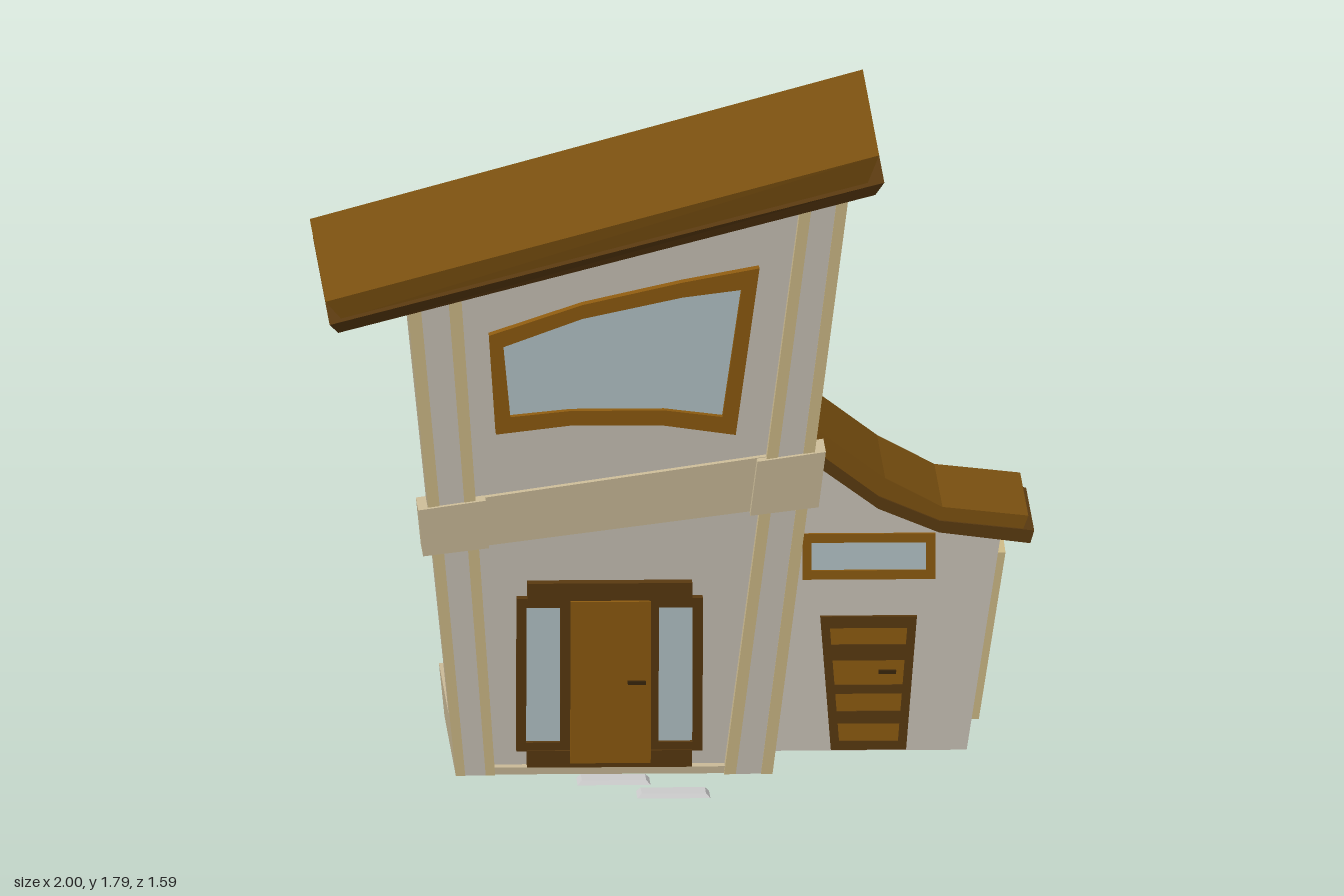
import * as THREE from 'three';

const C = {
  wall: 0xcbc4b8, trim: 0xd0bc88, belt: 0xcbbb98, roof: 0x7c5110, dark: 0x5a3a10,
  frame: 0x8f5c10, glass: 0xb6c6ca, stone: 0xcccccc, handle: 0x3a260c,
};
const mats = {};
const mat = (c) => (mats[c] ??= new THREE.MeshStandardMaterial({ color: C[c], flatShading: true, roughness: 0.9 }));

// Leaning planes of the tower and the annex, by height
const L = (y) => -0.63 - 0.103 * y;
const R = (y) => 0.255 + 0.1265 * y;
const F = (y) => 0.41 + 0.09 * y;
const B = (y) => -0.5 - 0.082 * y;
const annexF = (y) => 0.05 + 0.03 * y;
const annexB = (y) => -0.485 - 0.105 * y;
const annexX = (y) => 0.81 + 0.155 * y;
const soffit = (x) => 1.305 + (x + 0.965) * 0.2567;
const beltLow = (x) => 0.64 + (x + 0.7) * 0.122;
const beltTop = (x) => 0.775 + (x + 0.7) * 0.142;

// Wall mappings: (u, v, depth) to a point on a leaning wall
const onTower = (u, v, d) => [u, v, F(v) - 0.06 + d];
const onPost = (u, v, d) => [u, v, F(v) + d];
const onAnnex = (u, v, d) => [u, v, annexF(v) + d];
const onAnnexSide = (u, v, d) => [annexX(v) + d, v, -u];
const plain = (u, v, d) => [u, v, d];

export function createModel() {
  const model = new THREE.Group();

  function add(name, color, geo, parent = model) {
    const m = new THREE.Mesh(geo, mat(color));
    m.name = name;
    parent.add(m);
    return m;
  }
  function group(name) {
    const g = new THREE.Group();
    g.name = name;
    model.add(g);
    return g;
  }
  // Six-sided solid from two rings: front-left, front-right, back-right, back-left
  function hexa(lo, hi) {
    const p = [...lo, ...hi], pos = [];
    const quads = [[4, 5, 6, 7], [3, 2, 1, 0]];
    for (let i = 0; i < 4; i++) quads.push([i, (i + 1) % 4, 4 + (i + 1) % 4, 4 + i]);
    for (const [a, b, c, d] of quads) for (const i of [a, b, c, a, c, d]) pos.push(...p[i]);
    const g = new THREE.BufferGeometry();
    g.setAttribute('position', new THREE.Float32BufferAttribute(pos, 3));
    g.computeVertexNormals();
    return g;
  }
  // Outline with holes, extruded and laid on a wall
  function panel(name, color, outline, holes, d0, d1, map, parent) {
    const shape = new THREE.Shape(outline.map((q) => new THREE.Vector2(...q)));
    for (const h of holes) shape.holes.push(new THREE.Path(h.map((q) => new THREE.Vector2(...q))));
    const g = new THREE.ExtrudeGeometry(shape, { depth: d1 - d0, bevelEnabled: false });
    const p = g.attributes.position;
    for (let i = 0; i < p.count; i++) p.setXYZ(i, ...map(p.getX(i), p.getY(i), p.getZ(i) + d0));
    g.computeVertexNormals();
    return add(name, color, g, parent);
  }
  const rect = (x0, x1, y0, y1) => [[x0, y0], [x1, y0], [x1, y1], [x0, y1]];

  // Tower walls, belt and base
  const ring = (yl, yr, l, r, f, b) => [
    [L(yl) - l, yl, F(yl) + f], [R(yr) + r, yr, F(yr) + f],
    [R(yr) + r, yr, B(yr) - b], [L(yl) - l, yl, B(yl) - b]];
  const solid = (name, color, lo, hi, ...off) => add(name, color, hexa(ring(...lo, ...off), ring(...hi, ...off)));
  solid('towerWalls', 'wall', [0, 0], [1.355, 1.67], -0.04, -0.04, -0.06, 0);
  solid('belt', 'belt', [beltLow(-0.7), beltLow(0.37)], [beltTop(-0.7), beltTop(0.37)], -0.015, -0.015, -0.025, 0.022);
  solid('baseboard', 'belt', [0, 0], [0.15, 0.15], 0, 0, -0.12, 0.025);
  solid('frontSill', 'belt', [0, 0], [0.02, 0.02], -0.02, -0.02, -0.01, 0);

  // Corner posts with ribs and belt blocks
  const postWidth = (s, y) => (s < 0 ? 0.11 + 0.029 * y : 0.135);
  function post(s, e, yLow, yHigh) {
    const edge = s < 0 ? L : R;
    const ringAt = (fn) => {
      const y0 = fn(s < 0 ? -0.7 : 0.4);
      const xo = edge(y0) + s * e, xi = edge(y0) - s * (postWidth(s, y0) + e);
      const zb = (y) => F(y) - 0.12 - 0.039 * y - e;
      const [a, b] = s < 0 ? [xo, xi] : [xi, xo];
      const ya = fn(a), yb = fn(b);
      return [[a, ya, F(ya) + e], [b, yb, F(yb) + e], [b, yb, zb(yb)], [a, ya, zb(ya)]];
    };
    return hexa(ringAt(yLow), ringAt(yHigh));
  }
  for (const s of [-1, 1]) {
    const g = group(s < 0 ? 'rightPost' : 'leftPost');
    const edge = s < 0 ? L : R;
    const top = s < 0 ? 1.35 : 1.65;
    add('postCore', 'belt', post(s, 0, () => 0, soffit), g);
    add('beltBlock', 'belt', post(s, 0.028, beltLow, beltTop), g);
    const strip = (name, color, a, b, d) => {
      const x = (y, t) => edge(y) - s * postWidth(s, y) * t;
      const pts = [[x(0, a), 0], [x(0, b), 0], [x(top, b), soffit(x(top, b))], [x(top, a), soffit(x(top, a))]];
      panel(name, color, s < 0 ? pts : pts.reverse(), [], -0.01, d, onPost, g);
    };
    strip('postFace', 'wall', 0.1, 0.9, 0.002);
    strip('outerRib', 'trim', 0, 0.24, 0.008);
    strip('innerRib', 'trim', 0.76, 1, 0.008);
  }

  // Sloped tower roof in two layers
  const slab = (xl, yl, xr, yr, fl, fr, bl, br) => [[xl, yl, fl], [xr, yr, fr], [xr, yr, br], [xl, yl, bl]];
  add('roofLower', 'dark', hexa(
    slab(-0.965, 1.295, 0.535, 1.68, 0.62, 0.635, -0.745, -0.785),
    slab(-0.99, 1.32, 0.56, 1.717, 0.635, 0.648, -0.757, -0.795)));
  add('roofUpper', 'roof', hexa(
    slab(-0.955, 1.327, 0.515, 1.704, 0.58, 0.585, -0.71, -0.75),
    slab(-1, 1.378, 0.547, 1.786, 0.59, 0.6, -0.725, -0.765)));

  // Upper window
  const upper = group('upperWindow');
  const upperOuter = [[-0.52, 0.98], [-0.31, 1.005], [-0.05, 1.003], [0.15, 0.975], [0.215, 1.455], [0, 1.415], [-0.28, 1.352], [-0.54, 1.265]];
  const upperInner = [[-0.48, 1.03], [-0.31, 1.047], [-0.05, 1.047], [0.113, 1.027], [0.165, 1.393], [0, 1.372], [-0.28, 1.312], [-0.5, 1.232]];
  panel('windowFrame', 'frame', upperOuter, [upperInner], -0.01, 0.05, onTower, upper);
  panel('windowGlass', 'glass', upperInner, [], -0.01, 0.015, onTower, upper);

  // Main entrance with sidelights
  const entry = group('mainEntrance');
  panel('lintel', 'dark', rect(-0.43, 0.03, 0.5, 0.55), [], -0.01, 0.055, onTower, entry);
  panel('threshold', 'dark', rect(-0.43, 0.03, 0.02, 0.068), [], -0.01, 0.055, onTower, entry);
  panel('doorJamb', 'dark', rect(-0.32, -0.075, 0.02, 0.505), [], -0.01, 0.025, onTower, entry);
  panel('door', 'frame', rect(-0.31, -0.085, 0.032, 0.497), [], 0, 0.057, onTower, entry);
  panel('doorHandle', 'handle', rect(-0.15, -0.1, 0.26, 0.27), [], 0.05, 0.072, onTower, entry);
  for (const x of [-0.46, -0.09]) {
    const glass = rect(x + 0.027, x + 0.122, 0.09, 0.478);
    panel('sidelightFrame', 'dark', rect(x, x + 0.15, 0.065, 0.505), [glass], -0.01, 0.045, onTower, entry);
    panel('sidelightGlass', 'glass', glass, [], -0.01, 0.02, onTower, entry);
  }

  // Annex walls, extruded between the leaning front and back
  panel('annexWalls', 'wall', [[0.15, 0], [0.81, 0], [0.906, 0.62], [0.73, 0.65], [0.56, 0.715], [0.25, 0.92]], [], 0, 1,
    (u, v, t) => [u, v, THREE.MathUtils.lerp(annexB(v), annexF(v), t)]);

  // Swept annex roof in two layers
  panel('annexRoofLower', 'dark', [[0.3, 0.885], [0.56, 0.7], [0.73, 0.632], [0.985, 0.6], [0.996, 0.636], [0.73, 0.665], [0.56, 0.735], [0.3, 0.925]],
    [], -0.548, 0.135, plain);
  panel('annexRoofUpper', 'roof', [[0.3, 0.925], [0.56, 0.735], [0.73, 0.663], [0.965, 0.637], [0.98, 0.676], [0.74, 0.702], [0.58, 0.785], [0.34, 0.96], [0.3, 0.985]],
    [], -0.562, 0.122, plain);

  // Annex front window
  const small = group('annexFrontWindow');
  const smallGlass = rect(0.375, 0.695, 0.516, 0.595);
  panel('windowFrame', 'frame', rect(0.35, 0.722, 0.49, 0.62), [smallGlass], -0.01, 0.015, onAnnex, small);
  panel('windowGlass', 'glass', smallGlass, [], -0.01, 0.004, onAnnex, small);

  // Annex door: tapered frame with four panels
  const side = group('annexDoor');
  const panels = [[0.03, 0.08], [0.115, 0.165], [0.19, 0.26], [0.305, 0.352]]
    .map(([a, b]) => [[0.455 - a * 0.08, a], [0.615 + a * 0.08, a], [0.615 + b * 0.08, b], [0.455 - b * 0.08, b]]);
  panel('doorFrame', 'dark', [[0.43, 0.005], [0.64, 0.005], [0.67, 0.385], [0.4, 0.385]], panels, -0.01, 0.02, onAnnex, side);
  for (const p of panels) panel('doorPanel', 'frame', p, [], -0.01, 0.012, onAnnex, side);
  panel('doorHandle', 'handle', rect(0.563, 0.612, 0.222, 0.232), [], 0.01, 0.028, onAnnex, side);

  // Annex end window
  const end = group('annexEndWindow');
  const endGlass = [[0.052, 0.103], [0.4, 0.108], [0.432, 0.53], [0.035, 0.522]];
  panel('windowFrame', 'trim', [[0.024, 0.073], [0.43, 0.08], [0.465, 0.562], [0, 0.55]], [endGlass], -0.01, 0.025, onAnnexSide, end);
  panel('windowGlass', 'glass', endGlass, [], -0.01, 0.006, onAnnexSide, end);

  // Stepping stones with bevelled edges
  for (const [x, z] of [[-0.033, 0.735], [-0.193, 0.52]]) {
    const at = (w, d, y) => slab(x - w, y, x + w, y, z + d, z + d, z - d, z - d);
    add('steppingStone', 'stone', hexa(at(0.102, 0.06, 0), at(0.09, 0.049, 0.012)));
  }
  return model;
}
